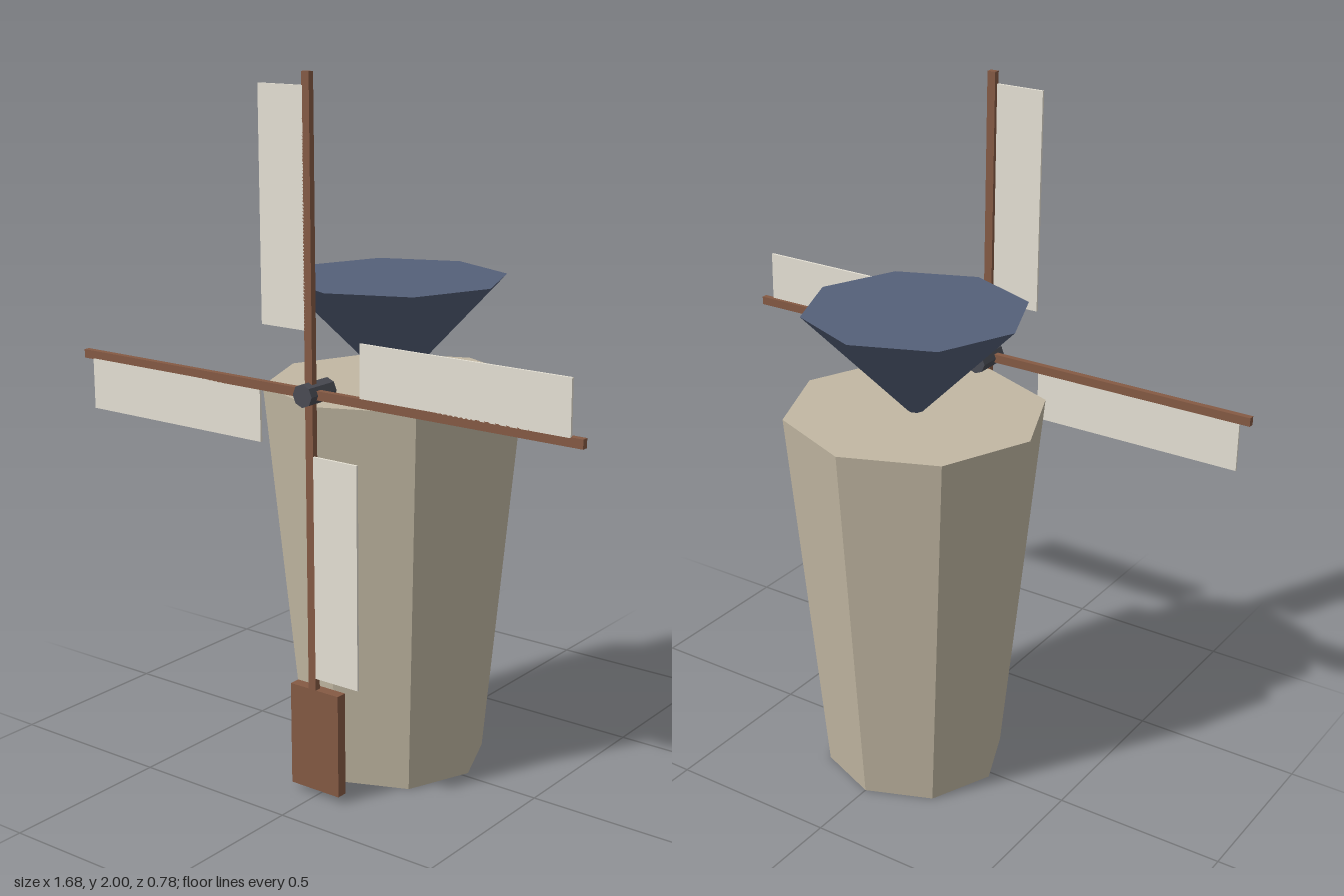
import * as THREE from 'three';

const flat = (name, color) => {
  const m = new THREE.MeshStandardMaterial({ color, flatShading: true });
  m.name = name;
  return m;
};

export function createModel() {
  const stone = flat('stone', 0xc2b8a3);
  const roofBlue = flat('roof blue', 0x556079);
  const wood = flat('wood', 0x855a44);
  const canvas = flat('canvas', 0xf0ebde);
  const iron = flat('iron', 0x4a4c54);
  const glass = flat('dark glass', 0x2f3545);

  const model = new THREE.Group();
  model.name = 'windmill';

  const add = (parent, name, geometry, material, x, y, z) => {
    const mesh = new THREE.Mesh(geometry, material);
    mesh.name = name;
    mesh.position.set(x, y, z);
    parent.add(mesh);
    return mesh;
  };
  const box = (w, h, d) => new THREE.BoxGeometry(w, h, d);

  // Tapered eight-sided tower, wider at the top
  const axisZ = -0.02;
  add(model, 'tower', new THREE.CylinderGeometry(0.372, 0.262, 1.125, 8), stone, 0, 0.5625, axisZ);

  // Upside-down cone cap, its tip sunk into the tower
  add(model, 'cap', new THREE.CylinderGeometry(0.316, 0, 0.32, 8), roofBlue, 0, 1.262, axisZ);

  // Door standing in front and a window almost flush with the wall
  add(model, 'door', box(0.166, 0.3, 0.032), wood, 0, 0.17, 0.34);
  add(model, 'window', box(0.116, 0.13, 0.03), glass, 0, 0.715, 0.27);

  // Rotor: hub and four arms, each a spar with a sail on one side
  const rotor = new THREE.Group();
  rotor.name = 'rotor';
  rotor.position.set(0, 1.162, 0);
  model.add(rotor);

  add(rotor, 'hub', new THREE.CylinderGeometry(0.032, 0.032, 0.106, 8), iron, 0, 0, 0.338).rotation.x = Math.PI / 2;

  for (let i = 0; i < 4; i++) {
    const arm = new THREE.Group();
    arm.name = `arm${i + 1}`;
    arm.rotation.z = (-i * Math.PI) / 2;
    add(arm, 'spar', box(0.025, 0.838, 0.018), wood, 0, 0.419, 0.355);
    add(arm, 'sail', box(0.148, 0.633, 0.007), canvas, -0.084, 0.4865, 0.3605);
    rotor.add(arm);
  }

  return model;
}
